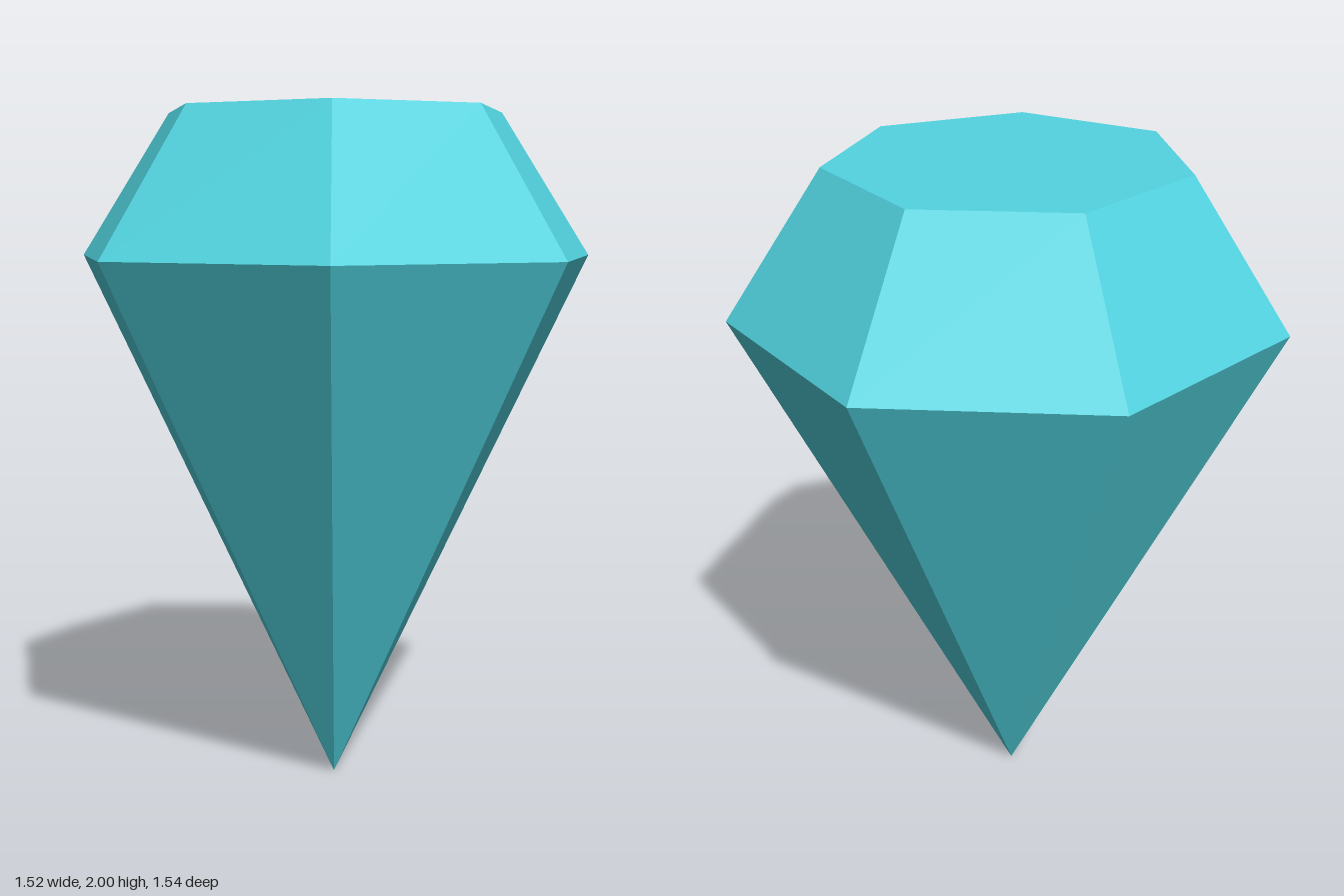
import * as THREE from 'three';

const SIDES = 7;
const TURN = 0.303; // angle of the first corner from +z
const GIRDLE_R = 0.79, TABLE_R = 0.508;
const GIRDLE_Y = 1.58, TOP_Y = 2;

export function createModel() {
  const gem = new THREE.Group();
  gem.name = 'gem';
  const turquoise = new THREE.MeshStandardMaterial({ color: 0x52d4e0 });
  turquoise.name = 'turquoise';

  // Split shared corners so that every facet is flat
  const addPart = (name, geometry) => {
    const flat = geometry.toNonIndexed();
    flat.computeVertexNormals();
    const mesh = new THREE.Mesh(flat, turquoise);
    mesh.name = name;
    gem.add(mesh);
  };

  // Ring of sloping facets between two heights
  const facets = (rTop, rBottom, yTop, yBottom) =>
    new THREE.CylinderGeometry(rTop, rBottom, yTop - yBottom, SIDES, 1, true, TURN)
      .translate(0, (yTop + yBottom) / 2, 0);

  // Long point below the widest edge
  addPart('lowerFacets', facets(GIRDLE_R, 0, GIRDLE_Y, 0));

  // Short bevel above the widest edge
  addPart('upperFacets', facets(TABLE_R, GIRDLE_R, TOP_Y, GIRDLE_Y));

  // Flat top
  addPart('topFacet', new THREE.CircleGeometry(TABLE_R, SIDES, TURN - Math.PI / 2)
    .rotateX(-Math.PI / 2).translate(0, TOP_Y, 0));

  // Centre the bounds of the odd-sided outline
  gem.position.set(0.025, 0, 0.011);
  return gem;
}
